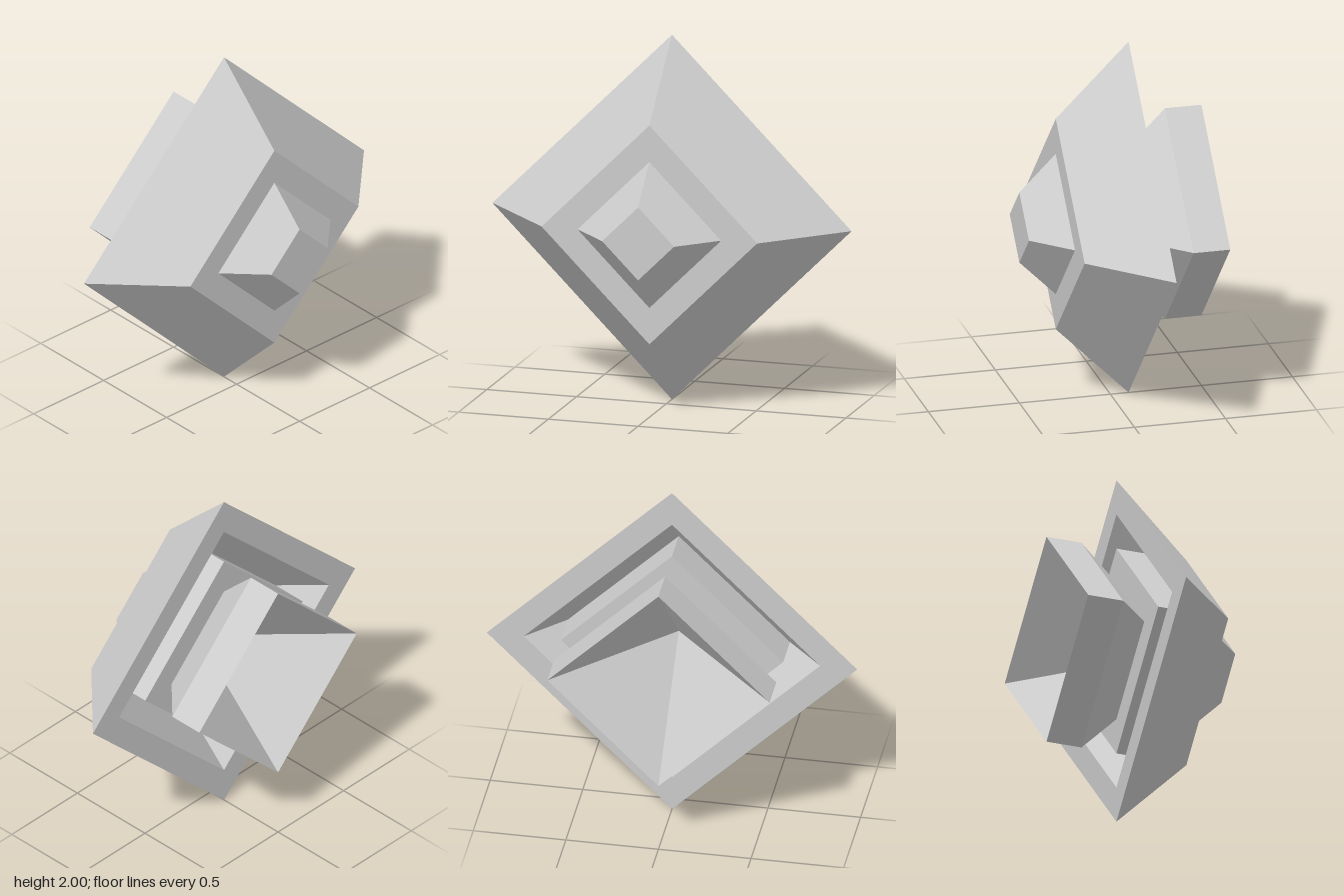
import * as THREE from 'three';

const material = new THREE.MeshStandardMaterial({ color: 0xcccccc, flatShading: true });

// Four-sided solid turned about the x axis; profile points are [x, radius].
function diamondPart(name, profile) {
  const points = profile.map(([x, r]) => new THREE.Vector2(r, x));
  const geometry = new THREE.LatheGeometry(points, 4);
  geometry.rotateZ(-Math.PI / 2);
  const mesh = new THREE.Mesh(geometry, material);
  mesh.name = name;
  mesh.position.y = 1;
  return mesh;
}

export function createModel() {
  const group = new THREE.Group();
  group.name = 'diamondThruster';

  // Flared tail with a funnel-shaped opening
  group.add(diamondPart('tailFunnel', [
    [0.1, 0], [-0.5, 0.6], [-0.3, 0.6], [-0.1, 0.4],
  ]));

  // Main body with a V-shaped groove in its rear face
  group.add(diamondPart('body', [
    [-0.1, 0.4], [-0.1, 0.6], [0.1, 0.6], [-0.1, 0.8], [-0.1, 1], [0.3, 0.6], [0.3, 0.4],
  ]));

  // Blunt tapered nose
  group.add(diamondPart('nose', [[0.3, 0.4], [0.5, 0.2], [0.5, 0]]));

  return group;
}
